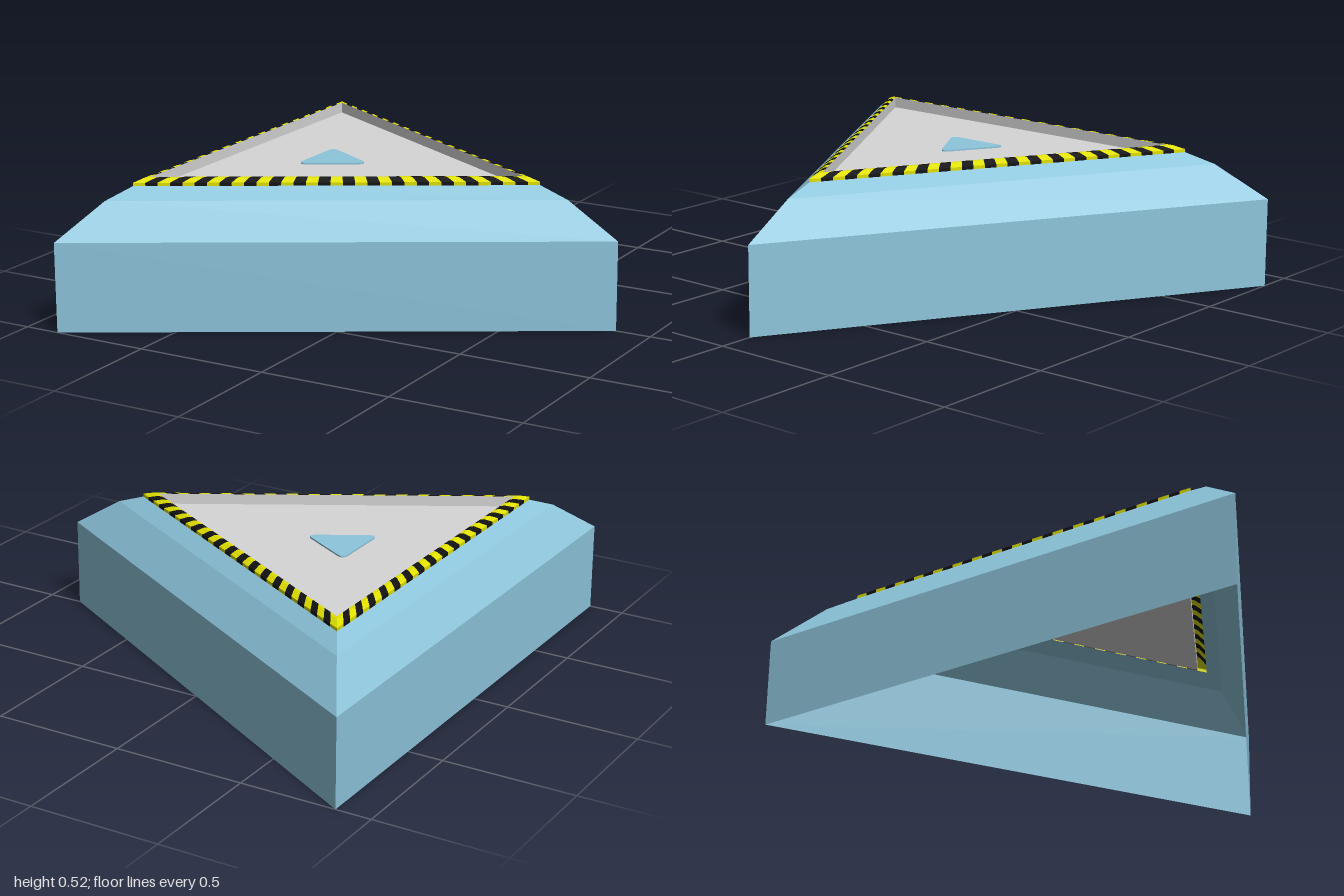
import * as THREE from 'three';

const R = 2 / Math.sqrt(3);       // corner radius of the triangular footprint
const PLATE_Y = 0.485;

// Point on a triangular ring: size factor, height, side index, position along the side
function ringPoint([scale, y], side, t) {
  const a = (side * Math.PI * 2) / 3, b = a + (Math.PI * 2) / 3;
  const mix = (p, q) => (p + (q - p) * t) * R * scale;
  return [mix(Math.cos(a), Math.cos(b)), y, mix(Math.sin(a), Math.sin(b))];
}

// Sweeps a [scale, height] profile around the triangle, alternating materials along each side
function triangleBand(profile, segments, materialCount) {
  const geo = new THREE.BufferGeometry();
  const pos = [];
  for (let side = 0; side < 3; side++) {
    for (let s = 0; s < segments; s++) {
      const start = pos.length / 3;
      for (let i = 0; i < profile.length - 1; i++) {
        const a = ringPoint(profile[i], side, s / segments);
        const b = ringPoint(profile[i], side, (s + 1) / segments);
        const c = ringPoint(profile[i + 1], side, (s + 1) / segments);
        const d = ringPoint(profile[i + 1], side, s / segments);
        pos.push(...a, ...d, ...c, ...a, ...c, ...b);
      }
      geo.addGroup(start, pos.length / 3 - start, s % materialCount);
    }
  }
  geo.setAttribute('position', new THREE.Float32BufferAttribute(pos, 3));
  geo.computeVertexNormals();
  return geo;
}

// Triangle pointing to +x with rounded corners
function roundedTriangle(radius, rounding) {
  const corners = [0, 1, 2].map((i) => {
    const a = (i * Math.PI * 2) / 3;
    return new THREE.Vector2(Math.cos(a) * radius, Math.sin(a) * radius);
  });
  const shape = new THREE.Shape();
  corners.forEach((c, i) => {
    const before = c.clone().lerp(corners[(i + 2) % 3], rounding);
    const after = c.clone().lerp(corners[(i + 1) % 3], rounding);
    if (i === 0) shape.moveTo(before.x, before.y);
    else shape.lineTo(before.x, before.y);
    shape.quadraticCurveTo(c.x, c.y, after.x, after.y);
  });
  shape.closePath();
  return shape;
}

export function createModel() {
  const material = (name, color) => {
    const m = new THREE.MeshStandardMaterial({ color, side: THREE.DoubleSide });
    m.name = name;
    return m;
  };
  const blue = material('paleBlue', 0x8dc5db);
  const grey = material('lightGrey', 0xd6d6d6);
  const yellow = material('warningYellow', 0xe0e000);
  const black = material('warningBlack', 0x111111);

  const group = new THREE.Group();
  group.name = 'triangularButton';
  const add = (name, geometry, mat) => {
    const mesh = new THREE.Mesh(geometry, mat);
    mesh.name = name;
    mesh.position.x = -R / 4;     // centre the footprint on x
    group.add(mesh);
    return mesh;
  };

  // Hollow shell: upright walls, then two bevels leaning inwards; open underneath
  add('shell', triangleBand([[1, 0], [1, 0.334], [0.826, 0.46], [0.73, 0.5]], 1, 1), [blue]);

  // Striped rim around the top opening
  add('stripedRim', triangleBand([[0.73, 0.5], [0.73, 0.512], [0.69, 0.525], [0.67, 0.525]], 33, 2), [yellow, black]);

  // Recessed panel and its upright edge
  add('panelEdge', triangleBand([[0.67, 0.525], [0.67, PLATE_Y]], 1, 1), [grey]);
  const panel = add('panel', new THREE.CircleGeometry(R * 0.67, 3).rotateX(-Math.PI / 2), grey);
  panel.position.y = PLATE_Y;

  // Small rounded triangle in the middle of the panel
  const marker = add('marker', new THREE.ExtrudeGeometry(roundedTriangle(0.15, 0.14), {
    depth: 0.006, bevelEnabled: false, curveSegments: 6,
  }).rotateX(-Math.PI / 2), blue);
  marker.position.x = -0.315;
  marker.position.y = PLATE_Y;

  return group;
}
